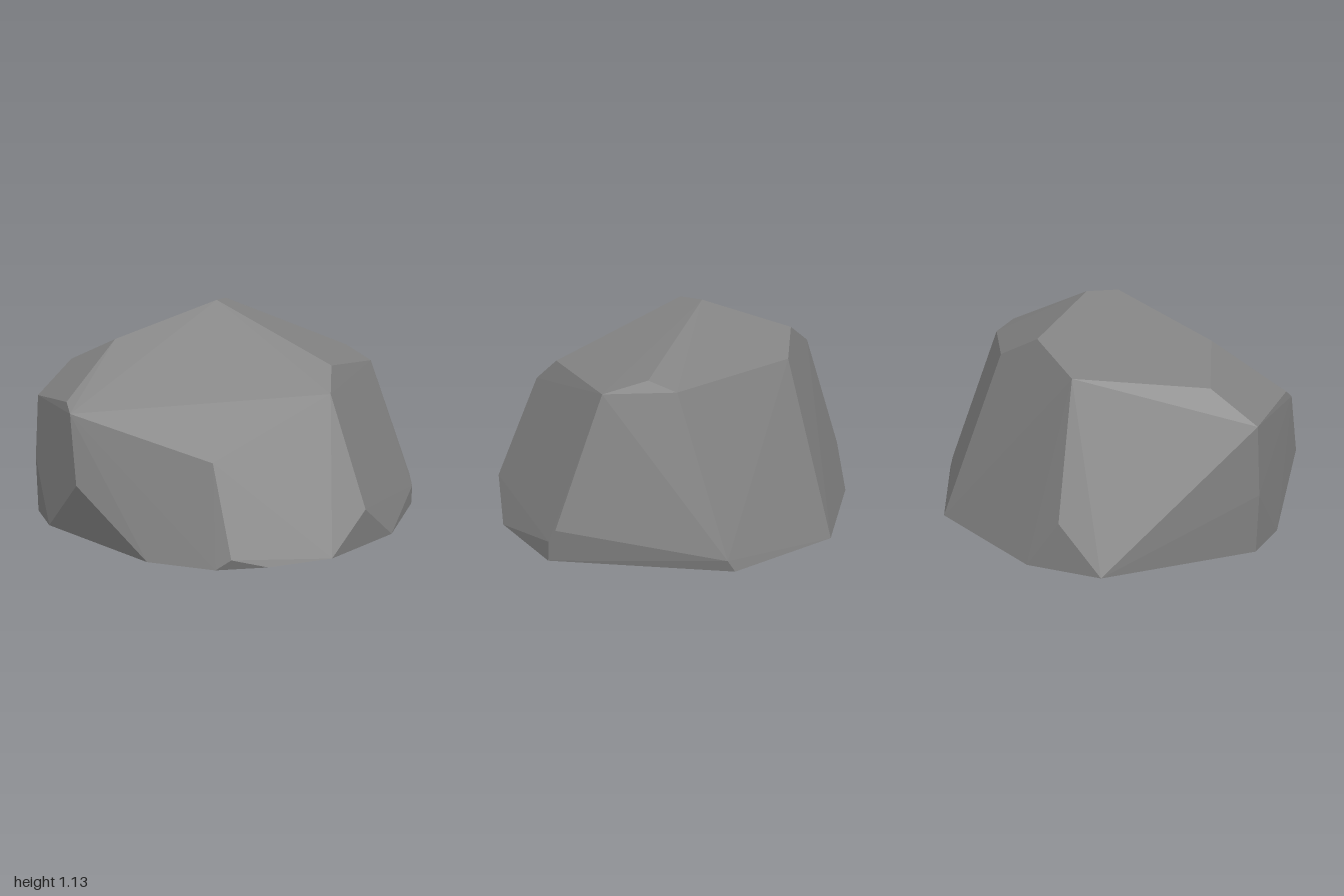
import * as THREE from 'three';
import { ConvexGeometry } from 'three/addons/geometries/ConvexGeometry.js';

// Corners of the boulder, in rings from the ground up: [x, y, z]
const ground = [
  [0.22, 0.965], [0.44, 0.865], [0.70, 0.68], [0.935, 0.28], [0.995, -0.23], [0.42, -0.90],
  [-0.20, -0.97], [-0.80, -0.62], [-1.0, -0.31], [-0.95, 0.47], [-0.78, 0.66], [-0.11, 0.965],
].map(([x, z]) => [x, 0, z]);

const lower = [
  [0.29, 0.05, 0.95], [0.825, 0.19, 0.495], [0.995, 0.10, -0.24], [0.975, 0.16, -0.27],
  [0.45, 0.055, -0.88], [-0.885, 0.24, -0.48], [-0.95, 0.30, 0.47], [-0.50, 0.305, 0.88],
];

const shoulder = [
  [0.17, 0.46, 0.84], [0.625, 0.72, 0.385], [0.60, 0.835, 0.23], [0.73, 0.785, -0.33],
  [0.57, 0.85, -0.47], [0.49, 0.80, -0.58], [-0.22, 0.865, -0.635], [-0.42, 0.985, -0.48],
  [-0.70, 0.865, -0.37], [-0.83, 0.81, 0.25], [-0.93, 0.64, 0.45], [-0.605, 0.68, 0.745],
  [-0.56, 0.635, 0.80], [-0.51, 0.945, 0.37],
];

const ridge = [[-0.07, 1.13, 0.01], [-0.07, 1.13, -0.16]];

// Faceted convex shell with the ground face left open
function openShell(corners) {
  const hull = new ConvexGeometry(corners.map((c) => new THREE.Vector3(...c)));
  const p = hull.getAttribute('position');
  const kept = [];
  for (let i = 0; i < p.count; i += 3) {
    const top = Math.max(p.getY(i), p.getY(i + 1), p.getY(i + 2));
    if (top < 0.001) continue;
    for (let k = i; k < i + 3; k++) kept.push(p.getX(k), p.getY(k), p.getZ(k));
  }
  const geometry = new THREE.BufferGeometry();
  geometry.setAttribute('position', new THREE.Float32BufferAttribute(kept, 3));
  geometry.computeVertexNormals();
  return geometry;
}

export function createModel() {
  const group = new THREE.Group();
  group.name = 'rock';

  const stone = new THREE.MeshStandardMaterial({
    color: 0x808080, flatShading: true, side: THREE.DoubleSide,
  });
  stone.name = 'grey stone';

  const boulder = new THREE.Mesh(openShell([...ground, ...lower, ...shoulder, ...ridge]), stone);
  boulder.name = 'boulder';
  group.add(boulder);
  return group;
}
